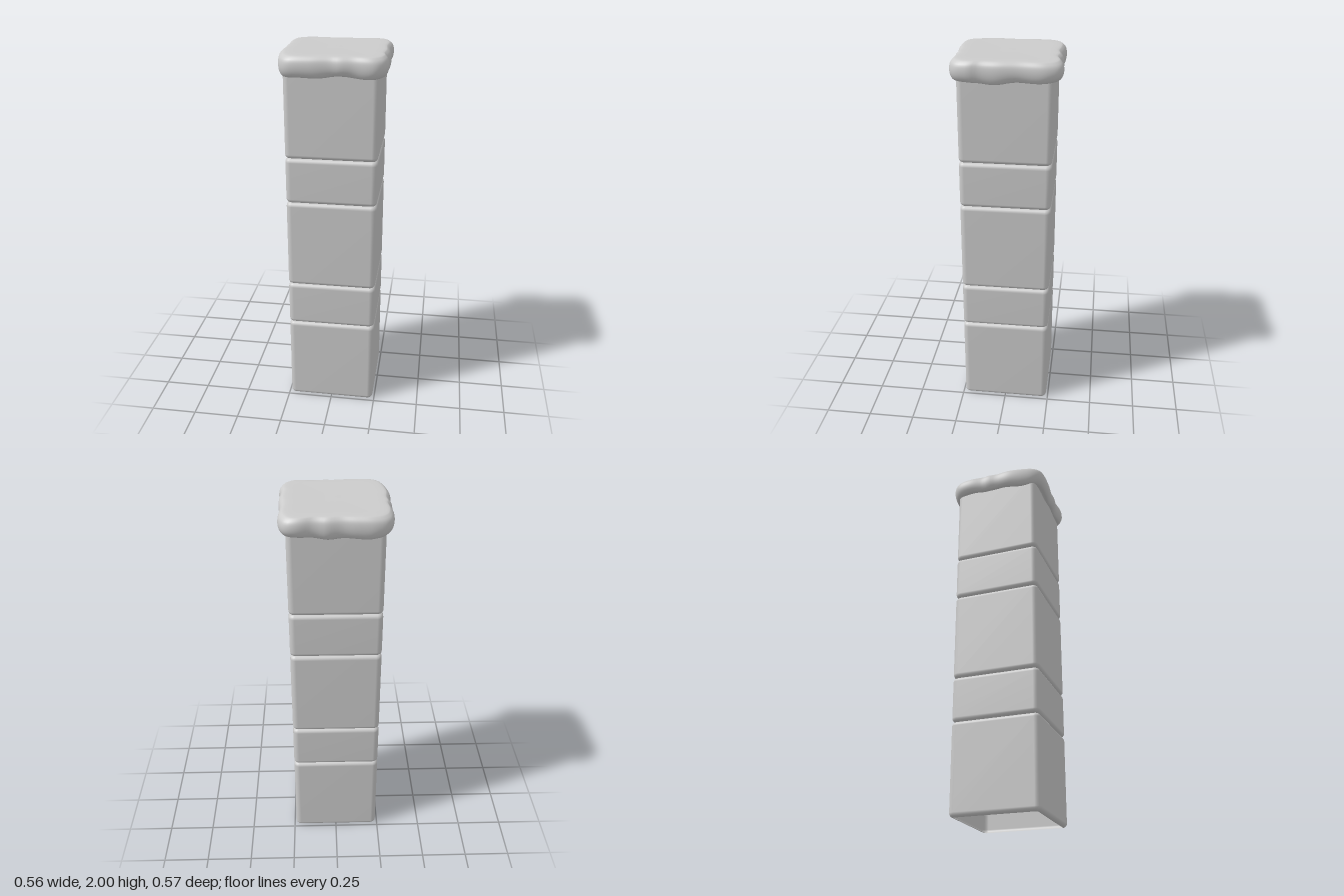
import * as THREE from 'three';

const material = new THREE.MeshStandardMaterial({ color: 0xcccccc, side: THREE.DoubleSide });

// Skins a stack of closed rings (anticlockwise from above) listed from bottom to top
function loft(name, rings) {
  const n = rings[0].length;
  const index = [];
  for (let i = 0; i < rings.length - 1; i++) {
    for (let j = 0; j < n; j++) {
      const a = i * n + j, b = i * n + (j + 1) % n;
      index.push(a, b, b + n, a, b + n, a + n);
    }
  }
  const geometry = new THREE.BufferGeometry().setFromPoints(rings.flat());
  geometry.setIndex(index);
  geometry.computeVertexNormals();
  const mesh = new THREE.Mesh(geometry, material);
  mesh.name = name;
  return mesh;
}

// Square ring with rounded corners
function squareRing(half, radius, y, steps = 4) {
  const ring = [];
  for (let corner = 0; corner < 4; corner++) {
    const mid = Math.PI / 4 + corner * Math.PI / 2;
    const cx = Math.sign(Math.sin(mid)) * (half - radius);
    const cz = Math.sign(Math.cos(mid)) * (half - radius);
    for (let k = 0; k <= steps; k++) {
      const a = (corner + k / steps) * Math.PI / 2;
      ring.push(new THREE.Vector3(cx + radius * Math.sin(a), y, cz + radius * Math.cos(a)));
    }
  }
  return ring;
}

// Hollow block with softened top and bottom edges
function block(name, y0, y1) {
  const half = 0.24, bevel = 0.022, steps = 4, rings = [];
  for (const end of [0, 1]) {
    for (let k = 0; k <= steps; k++) {
      const a = (end + k / steps) * Math.PI / 2;
      const inset = bevel * (1 - Math.sin(a));
      const y = (end ? y1 - bevel : y0 + bevel) - bevel * Math.cos(a);
      rings.push(squareRing(half - inset, 0.03 - inset, y));
    }
  }
  return loft(name, rings);
}

// Uneven slab outline, as x, z pairs
const outline = [
  -0.204, 0.277, -0.092, 0.281, 0.01, 0.27, 0.05, 0.273, 0.117, 0.266, 0.192, 0.273,
  0.228, 0.268, 0.263, 0.238, 0.277, 0.196, 0.28, 0.166, 0.273, 0.125, 0.279, 0.027,
  0.271, -0.08, 0.276, -0.191, 0.267, -0.232, 0.251, -0.263, 0.226, -0.28, 0.188, -0.285,
  0.156, -0.28, 0.117, -0.27, 0.081, -0.271, 0.046, -0.277, -0.026, -0.268, -0.097, -0.275,
  -0.174, -0.278, -0.204, -0.273, -0.237, -0.261, -0.267, -0.228, -0.28, -0.155, -0.274, -0.07,
  -0.279, -0.045, -0.274, 0.012, -0.281, 0.09, -0.265, 0.196, -0.251, 0.238, -0.23, 0.264,
];

// Cap slab: the outline scaled along a rounded edge profile, with a wavy underside
function capSlab() {
  const points = [];
  for (let i = 0; i < outline.length; i += 2) {
    points.push(new THREE.Vector3(outline[i], 0, outline[i + 1]));
  }
  const edge = new THREE.CatmullRomCurve3(points, true).getSpacedPoints(120).slice(0, -1);
  const profile = new THREE.SplineCurve([
    [0.8, 1.905], [0.88, 1.892], [0.94, 1.895], [0.985, 1.917], [1, 1.945],
    [0.985, 1.973], [0.94, 1.99], [0.87, 1.998], [0.6, 1.998], [0.3, 1.997], [0.001, 1.997],
  ].map(([s, y]) => new THREE.Vector2(s, y)));
  const rings = profile.getPoints(30).map(({ x: s, y }) => edge.map((p) => {
    const a = Math.atan2(p.x, p.z);
    const wave = 0.006 * Math.sin(3 * a + 1) + 0.004 * Math.sin(8 * a);
    const low = THREE.MathUtils.clamp((1.97 - y) / 0.07, 0, 1);
    return new THREE.Vector3(p.x * s, y + wave * low, p.z * s);
  }));
  return loft('capSlab', rings);
}

export function createModel() {
  const group = new THREE.Group();
  group.name = 'stonePillar';

  // Tall blocks alternate with short bands
  const joints = [0, 0.49, 0.735, 1.22, 1.465, 1.95];
  for (let i = 0; i < 5; i++) {
    group.add(block(i % 2 ? 'shortBlock' : 'tallBlock', joints[i], joints[i + 1]));
  }
  group.add(capSlab());
  return group;
}
